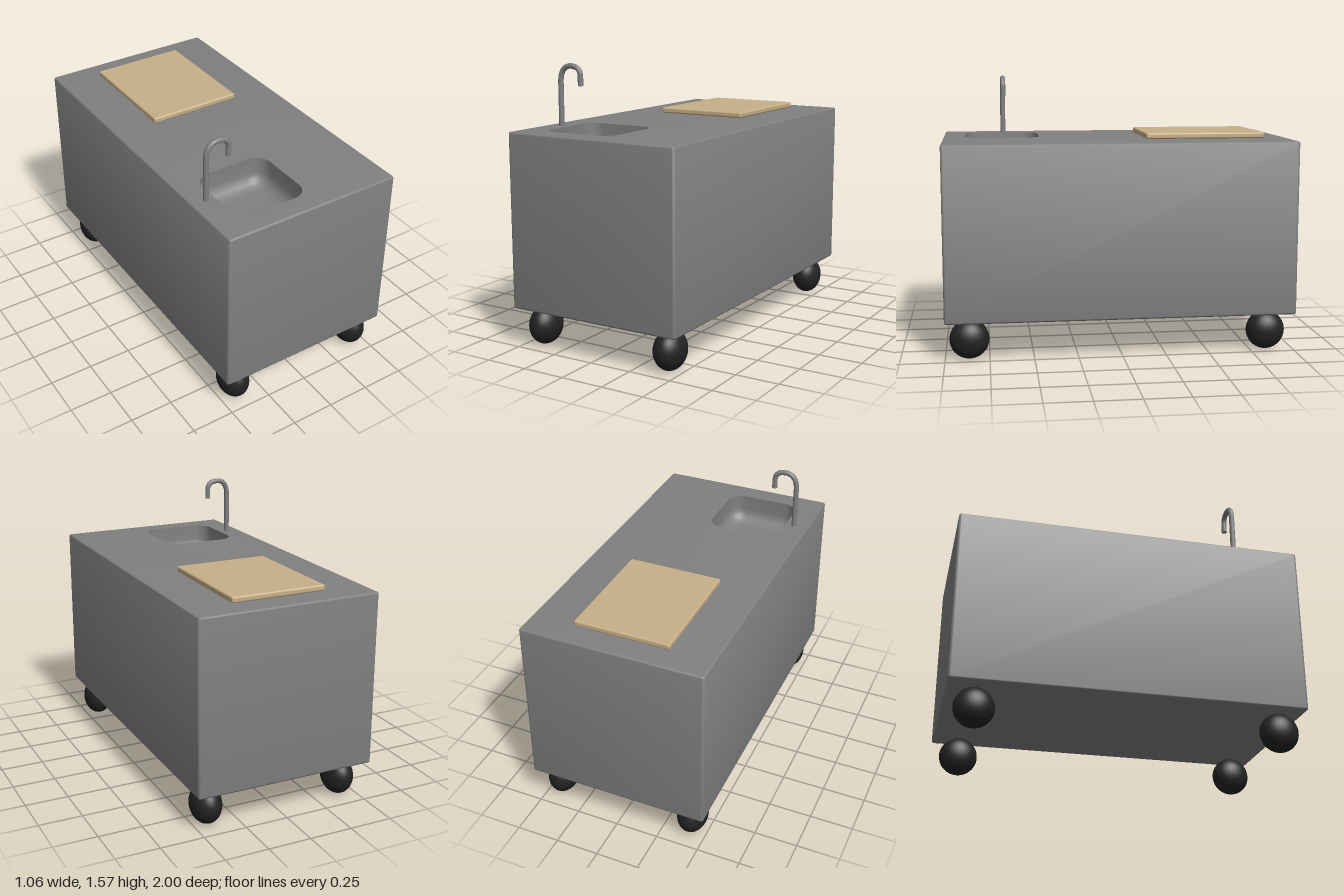
import * as THREE from 'three';
import { mergeGeometries, toCreasedNormals } from 'three/addons/utils/BufferGeometryUtils.js';
import { RoundedBoxGeometry } from 'three/addons/geometries/RoundedBoxGeometry.js';

const BOTTOM = 0.22, TOP = 1.215;

// Rounded rectangle, counterclockwise in plan (y of the plan is -z of the model)
function plan(cx, cz, hx, hz, r, steps) {
  const pts = [];
  [[1, 1], [-1, 1], [-1, -1], [1, -1]].forEach(([sx, sy], q) => {
    for (let i = 0; i <= steps; i++) {
      const a = (q + i / steps) * Math.PI / 2;
      pts.push(new THREE.Vector2(
        cx + sx * (hx - r) + r * Math.cos(a),
        -cz + sy * (hz - r) + r * Math.sin(a)));
    }
  });
  return pts;
}

// Skin through rings of equal point count; rising rings face out, falling rings face in
function loft(rings) {
  const n = rings[0].pts.length, pos = [], index = [];
  rings.forEach(({ pts, y }) => pts.forEach(p => pos.push(p.x, y, -p.y)));
  for (let j = 0; j < rings.length - 1; j++) {
    for (let i = 0; i < n; i++) {
      const a = j * n + i, b = j * n + (i + 1) % n;
      index.push(a, b, b + n, a, b + n, a + n);
    }
  }
  const geo = new THREE.BufferGeometry();
  geo.setAttribute('position', new THREE.Float32BufferAttribute(pos, 3));
  geo.setIndex(index);
  return geo;
}

// Flat horizontal face, optionally with a hole
function cap(pts, y, hole) {
  const shape = new THREE.Shape(pts);
  if (hole) shape.holes.push(new THREE.Path(hole));
  const geo = new THREE.ShapeGeometry(shape).rotateX(-Math.PI / 2).translate(0, y, 0);
  geo.deleteAttribute('normal');
  geo.deleteAttribute('uv');
  return geo;
}

function join(parts) {
  return toCreasedNormals(mergeGeometries(parts), 0.7);
}

export function createModel() {
  const model = new THREE.Group();
  model.name = 'kitchenIsland';
  const steel = new THREE.MeshStandardMaterial({ color: 0x808080 });
  const wood = new THREE.MeshStandardMaterial({ color: 0xc8b088 });
  const rubber = new THREE.MeshStandardMaterial({ color: 0x222222 });

  const add = (name, geo, mat, x = 0, y = 0, z = 0) => {
    const mesh = new THREE.Mesh(geo, mat);
    mesh.name = name;
    mesh.position.set(x, y, z);
    model.add(mesh);
    return mesh;
  };

  // Cabinet with softened edges and a sink cut-out in its top
  const edge = 0.012, steps = 4;
  const body = inset => plan(0, 0, 0.53 - inset, 1 - inset, edge + 0.002 - inset, steps);
  const sink = inset => plan(-0.17, 0.655, 0.22 - inset, 0.22 - inset, 0.09 - inset * 0.6, 8);
  const rings = [];
  for (let i = 0; i <= steps; i++) {
    const a = i / steps * Math.PI / 2;
    rings.push({ pts: body(edge * (1 - Math.sin(a))), y: BOTTOM + edge * (1 - Math.cos(a)) });
  }
  for (let i = 0; i <= steps; i++) {
    const a = i / steps * Math.PI / 2;
    rings.push({ pts: body(edge * (1 - Math.cos(a))), y: TOP - edge * (1 - Math.sin(a)) });
  }
  const underside = cap(body(edge), 0).rotateX(Math.PI).translate(0, BOTTOM, 0);
  add('cabinet', join([loft(rings), cap(body(edge), TOP, sink(0)), underside]), steel);

  // Sink basin: straight walls running into a rounded floor edge
  const depth = 0.17, fillet = 0.08;
  const bowl = [{ pts: sink(0), y: TOP }];
  for (let i = 0; i <= 6; i++) {
    const a = i / 6 * Math.PI / 2;
    bowl.push({
      pts: sink(fillet * (1 - Math.cos(a))),
      y: TOP - depth + fillet * (1 - Math.sin(a)),
    });
  }
  add('sinkBasin', join([loft(bowl), cap(sink(fillet), TOP - depth)]), steel);

  // Faucet: upright pipe, hooked over the sink
  const path = new THREE.CurvePath();
  const v = (x, y) => new THREE.Vector3(x, y, 0.64);
  path.add(new THREE.LineCurve3(v(-0.44, 1.2), v(-0.44, 1.46)));
  path.add(new THREE.CubicBezierCurve3(v(-0.44, 1.46), v(-0.44, 1.52), v(-0.415, 1.554), v(-0.37, 1.554)));
  path.add(new THREE.CubicBezierCurve3(v(-0.37, 1.554), v(-0.325, 1.554), v(-0.303, 1.535), v(-0.303, 1.495)));
  path.add(new THREE.LineCurve3(v(-0.303, 1.495), v(-0.303, 1.445)));
  add('faucet', new THREE.TubeGeometry(path, 64, 0.0155, 16), steel);
  add('faucetTip', new THREE.CircleGeometry(0.0155, 16).rotateX(Math.PI / 2), steel, -0.303, 1.445, 0.64);

  // Cutting board
  add('cuttingBoard', new RoundedBoxGeometry(0.555, 0.034, 0.695, 3, 0.01), wood, -0.003, 1.233, -0.512);

  // Ball wheels, flattened sideways
  for (const [side, x] of [['Right', -0.408], ['Left', 0.42]]) {
    for (const [end, z] of [['front', 0.863], ['back', -0.845]]) {
      const wheel = add(end + side + 'Wheel', new THREE.SphereGeometry(0.112, 32, 24), rubber, x, 0.112, z);
      wheel.scale.x = 0.77;
    }
  }
  return model;
}
